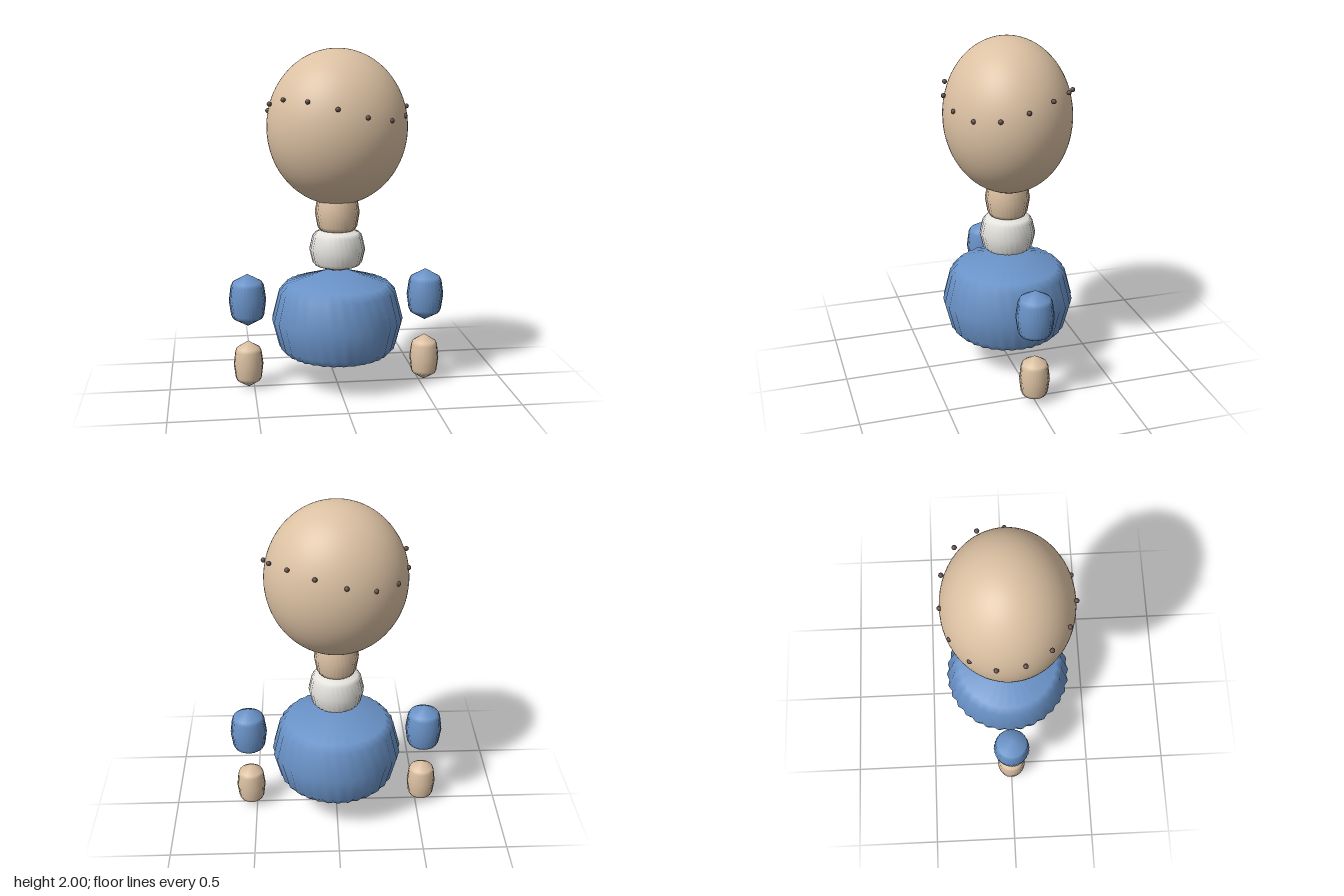
import * as THREE from 'three';
import { mergeVertices } from 'three/addons/utils/BufferGeometryUtils.js';

const material = (name, color) => {
  const m = new THREE.MeshStandardMaterial({ color });
  m.name = name;
  return m;
};

// Unit barrel with pointed ends and fine pleats running pole to pole
function pleatedGeometry() {
  const profile = [[0, -1], [0.79, -0.69], [0.89, -0.55], [1, 0], [0.89, 0.55], [0.79, 0.69], [0, 1]]
    .map(([r, y]) => new THREE.Vector2(r, y));
  const pleats = 32;
  const lathe = new THREE.LatheGeometry(profile, pleats * 2);
  const pos = lathe.attributes.position;
  for (let i = 0; i < pos.count; i++) {
    const x = pos.getX(i), z = pos.getZ(i);
    const s = 1 - 0.0175 * (1 - Math.cos(Math.atan2(x, z) * pleats));
    pos.setX(i, x * s);
    pos.setZ(i, z * s);
  }
  lathe.deleteAttribute('uv');
  lathe.deleteAttribute('normal');
  const g = mergeVertices(lathe, 1e-5);
  g.computeVertexNormals();
  return g;
}

export function createModel() {
  const group = new THREE.Group();
  const skin = material('skin', 0xdcc1a3);
  const blue = material('blue cloth', 0x6a93c8);
  const white = material('white collar', 0xe4e3de);
  const brown = material('brown beads', 0x5e4a43);

  const add = (name, geometry, mat, x, y, z, sx, sy, sz) => {
    const mesh = new THREE.Mesh(geometry, mat);
    mesh.name = name;
    mesh.position.set(x, y, z);
    mesh.scale.set(sx, sy, sz);
    group.add(mesh);
  };

  const pleated = pleatedGeometry();

  // Body stack
  add('torso', pleated, blue, 0, 0.415, 0, 0.39, 0.305, 0.39);
  add('collar', pleated, white, 0, 0.835, 0, 0.165, 0.142, 0.165);
  add('neck', pleated, skin, 0, 1.055, 0, 0.132, 0.152, 0.132);

  // Floating sleeves and hands
  for (const [side, s] of [['left', 1], ['right', -1]]) {
    add(side + 'Sleeve', pleated, blue, s * 0.533, 0.538, 0, 0.11, 0.158, 0.11);
    add(side + 'Hand', pleated, skin, s * 0.533, 0.145, 0, 0.088, 0.143, 0.088);
  }

  // Egg-shaped head
  add('head', new THREE.SphereGeometry(1, 64, 48), skin, 0, 1.55, 0, 0.408, 0.45, 0.367);

  // Wavy ring of beads around the head
  const bead = new THREE.SphereGeometry(0.014, 16, 12);
  const beads = 15;
  for (let i = 0; i < beads; i++) {
    const a = (i / beads) * Math.PI * 2;
    add('bead', bead, brown, 0.404 * Math.cos(a), 1.667 - 0.06 * Math.sin(2 * a), 0.362 * Math.sin(a), 1, 1, 1);
  }
  return group;
}
